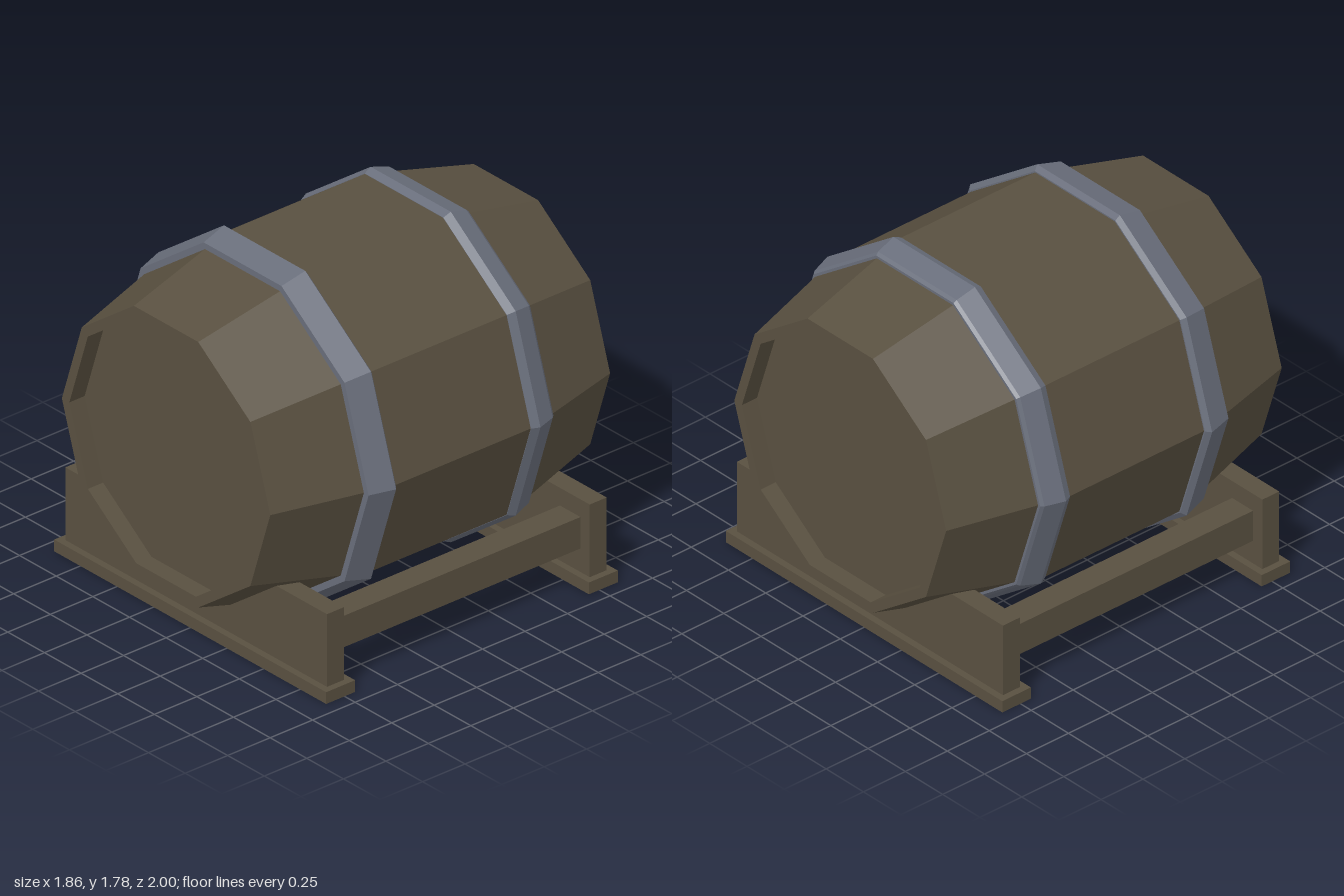
import * as THREE from 'three';

const SIDES = 10;
const AXIS_Y = 0.922;

export function createModel() {
  const model = new THREE.Group();
  model.name = 'barrelOnStand';
  const wood = new THREE.MeshStandardMaterial({ name: 'wood', color: 0x595040, flatShading: true });
  const iron = new THREE.MeshStandardMaterial({ name: 'iron', color: 0x696e7b, flatShading: true });

  const add = (name, geometry, material, parent = model) => {
    const mesh = new THREE.Mesh(geometry, material);
    mesh.name = name;
    parent.add(mesh);
    return mesh;
  };

  // Ten-sided turned part lying along z; profile is [radius, z] from back to front
  const turned = (name, profile, material) => {
    const points = profile.map(([r, z]) => new THREE.Vector2(r, z));
    const geometry = new THREE.LatheGeometry(points, SIDES, Math.PI / 2);
    geometry.rotateX(Math.PI / 2);
    return add(name, geometry, material).translateY(AXIS_Y);
  };

  // Barrel body with raised rims and deeply recessed lids
  turned('barrelBody', [
    [0, -0.91], [0.66, -0.91], [0.66, -1], [0.711, -1], [0.828, -0.55], [0.865, -0.4],
    [0.865, 0.4], [0.828, 0.55], [0.711, 1], [0.66, 1], [0.66, 0.91], [0, 0.91],
  ], wood);

  // Iron hoops, the front one slightly larger
  turned('backHoop', [[0.81, -0.555], [0.84, -0.555], [0.853, -0.54], [0.885, -0.44], [0.867, -0.4], [0.84, -0.4]], iron);
  turned('frontHoop', [[0.84, 0.4], [0.872, 0.4], [0.897, 0.42], [0.86, 0.55], [0.81, 0.55]], iron);

  // Cradle board, notched to follow the underside of the barrel
  const cradle = new THREE.Shape([
    [-0.893, 0.04], [0.893, 0.04], [0.893, 0.43], [0.516, 0.43],
    [0.229, 0.221], [-0.229, 0.221], [-0.516, 0.43], [-0.893, 0.43],
  ].map(([x, y]) => new THREE.Vector2(x, y)));
  const cradleGeometry = new THREE.ExtrudeGeometry(cradle, { depth: 0.1, bevelEnabled: false });
  cradleGeometry.translate(0, 0, -0.05);

  // Foot frame, open underneath the board
  const rectangle = (path, x, y) => path.moveTo(-x, -y).lineTo(x, -y).lineTo(x, y).lineTo(-x, y).closePath();
  const foot = rectangle(new THREE.Shape(), 0.928, 0.085);
  foot.holes.push(rectangle(new THREE.Path(), 0.893, 0.05));
  const footGeometry = new THREE.ExtrudeGeometry(foot, { depth: 0.06, bevelEnabled: false });
  footGeometry.rotateX(-Math.PI / 2);

  const stand = new THREE.Group();
  stand.name = 'stand';
  model.add(stand);
  // The stand sits a touch behind the front hoop's midline on both ends
  for (const [end, z] of [['front', 0.773], ['back', -0.773]]) {
    add(end + 'Cradle', cradleGeometry, wood, stand).position.z = z;
    add(end + 'Foot', footGeometry, wood, stand).position.z = z;
  }

  // Rails joining the two cradles
  for (const [end, side] of [['left', 1], ['right', -1]]) {
    add(end + 'Rail', new THREE.BoxGeometry(0.14, 0.16, 1.46), wood, stand)
      .position.set(0.76 * side, 0.26, 0);
  }
  return model;
}
